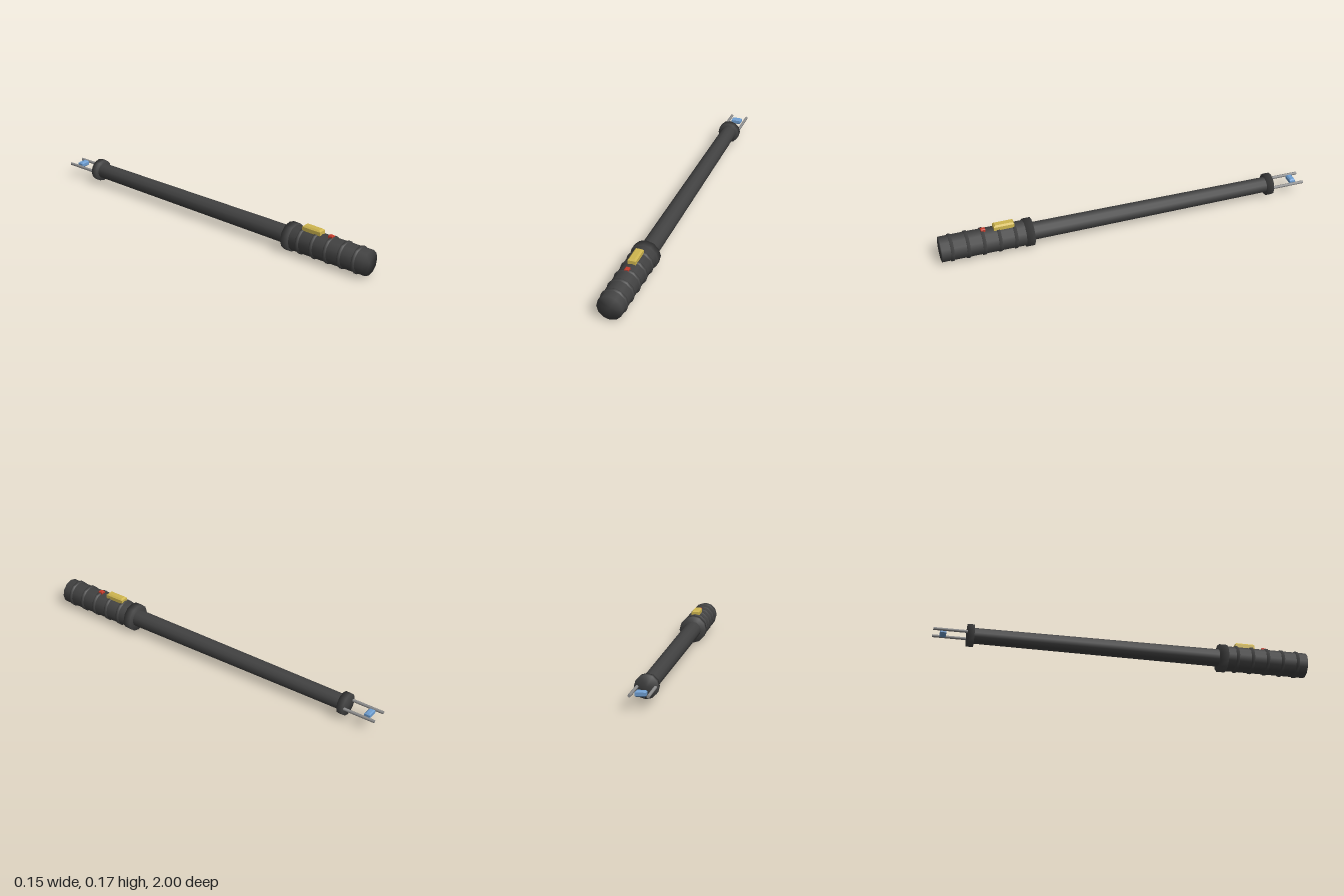
import * as THREE from 'three';

const AXIS_Y = 0.0745;
const SIDES = 12;

const flat = (name, color) => {
  const m = new THREE.MeshStandardMaterial({ color });
  m.name = name;
  return m;
};

export function createModel() {
  const black = flat('black rubber', 0x424242);
  const steel = flat('steel', 0x8e8e8e);
  const blue = flat('spark blue', 0x6f9fd2);
  const yellow = flat('switch yellow', 0xcfb64f);
  const red = flat('indicator red', 0xc43a2a);

  const model = new THREE.Group();
  model.name = 'baton';

  const add = (name, geometry, material, x = 0, y = AXIS_Y, z = 0) => {
    const mesh = new THREE.Mesh(geometry, material);
    mesh.name = name;
    mesh.position.set(x, y, z);
    model.add(mesh);
    return mesh;
  };

  // Closed smooth round part along z, from [radius, z] pairs, back to front
  const turned = (name, profile) => {
    const points = profile.map(([r, z]) => new THREE.Vector2(r, z));
    add(name, new THREE.LatheGeometry(points, SIDES).rotateX(Math.PI / 2), black);
  };
  const drum = (name, z0, z1, r0, r1 = r0) =>
    turned(name, [[0, z0], [r0, z0], [r1, z1], [0, z1]]);

  // Block with chamfered edges, centred on its origin
  const block = (w, h, d, bevel) => {
    const x = w / 2 - bevel, z = d / 2 - bevel;
    const shape = new THREE.Shape([
      new THREE.Vector2(-x, -z), new THREE.Vector2(x, -z),
      new THREE.Vector2(x, z), new THREE.Vector2(-x, z),
    ]);
    return new THREE.ExtrudeGeometry(shape, {
      depth: h - 2 * bevel, bevelEnabled: true,
      bevelSize: bevel, bevelThickness: bevel, bevelSegments: 1,
    }).rotateX(-Math.PI / 2).translate(0, bevel - h / 2, 0);
  };

  // Handle with grip rings and guard collar
  drum('handle', 0.53, 1, 0.067);
  for (let i = 0; i < 5; i++) {
    const z = 0.945 - i * 0.0835;
    turned('gripRing', [[0.06, z - 0.01], [0.072, z - 0.008], [0.072, z + 0.008], [0.06, z + 0.01]]);
  }
  drum('collar', 0.515, 0.558, 0.0745);

  // Tapering shaft and end cap
  drum('shaft', -0.81, 0.53, 0.041, 0.047);
  drum('endCap', -0.825, -0.79, 0.059);

  // Pair of contact prongs with the spark between them
  for (const side of [-1, 1]) {
    const prong = new THREE.CylinderGeometry(0.008, 0.008, 0.2, 8).rotateX(Math.PI / 2);
    add('prong', prong, steel, side * 0.044, AXIS_Y, -0.9);
  }
  add('spark', block(0.054, 0.03, 0.032, 0.007), blue, 0, AXIS_Y, -0.947);

  // Switch and indicator on top of the handle
  add('switch', block(0.043, 0.036, 0.108, 0.008), yellow, 0, 0.148, 0.664);
  add('indicator', block(0.023, 0.02, 0.025, 0.004), red, 0, 0.144, 0.772);

  return model;
}
